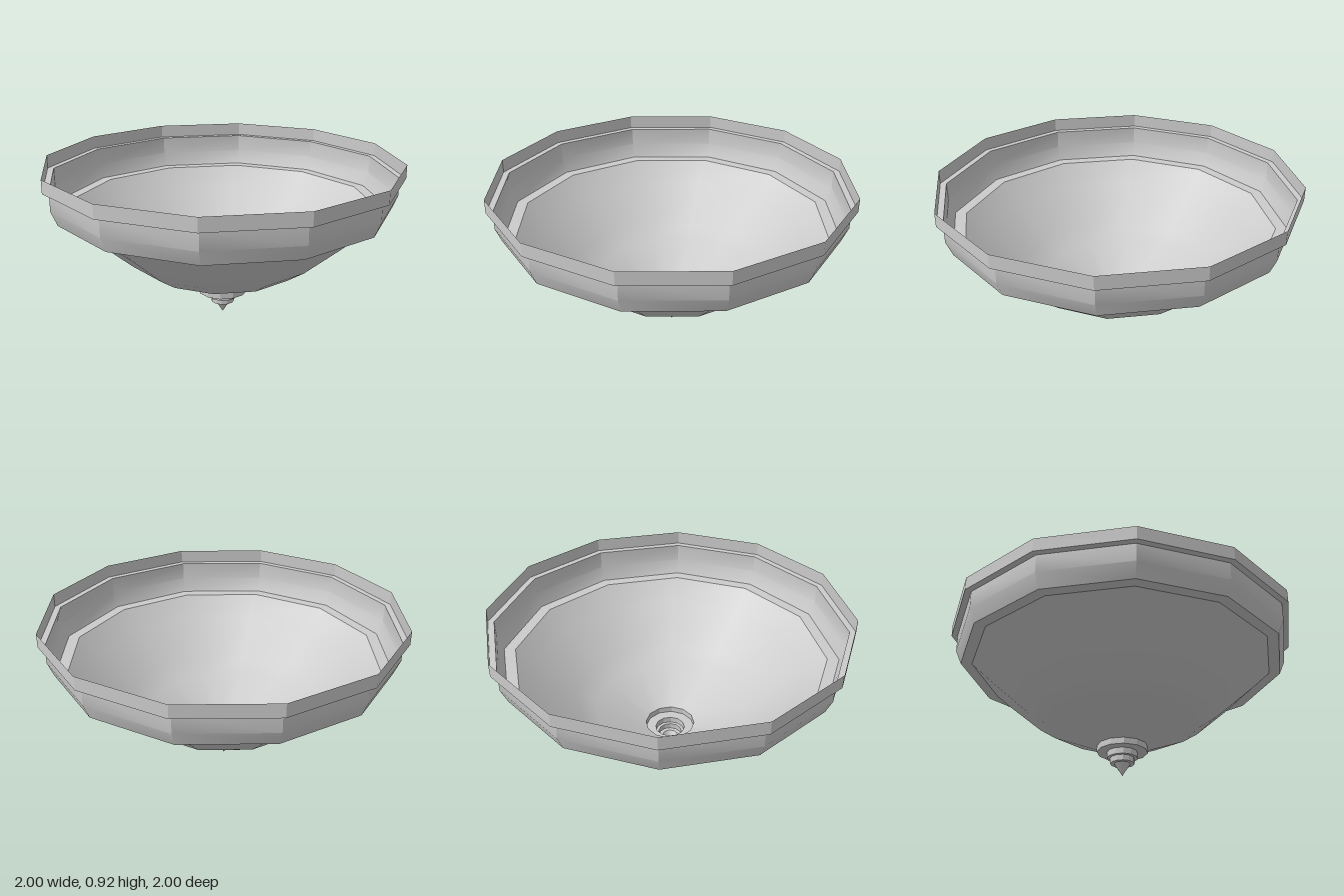
import * as THREE from 'three';
import { toCreasedNormals } from 'three/addons/utils/BufferGeometryUtils.js';

const SIDES = 12;
const CREASE = 0.52; // just under the 30 degree step between sides

export function createModel() {
  const group = new THREE.Group();
  const material = new THREE.MeshStandardMaterial({ color: 0xcccccc, side: THREE.DoubleSide });

  // Thin twelve-sided shell turned from a [radius, height] profile, bottom to top
  function addShell(name, profile) {
    const points = profile.map(([r, y]) => new THREE.Vector2(r, y));
    const geometry = toCreasedNormals(new THREE.LatheGeometry(points, SIDES), CREASE);
    const mesh = new THREE.Mesh(geometry, material);
    mesh.name = name;
    group.add(mesh);
  }

  // Pointed, stepped finial at the base
  addShell('finial', [
    [0, 0], [0.045, 0.07], [0.067, 0.07], [0.067, 0.102],
    [0.085, 0.102], [0.085, 0.137], [0.142, 0.137], [0.142, 0.172],
  ]);

  // Curved bowl
  addShell('bowl', [
    [0.142, 0.172], [0.435, 0.30], [0.54, 0.37], [0.76, 0.56], [0.868, 0.66],
  ]);

  // Ledge, flared wall and overhanging lip
  addShell('rim', [
    [0.868, 0.66], [0.932, 0.66], [0.965, 0.74],
    [0.965, 0.84], [1, 0.84], [1, 0.915],
  ]);

  return group;
}
